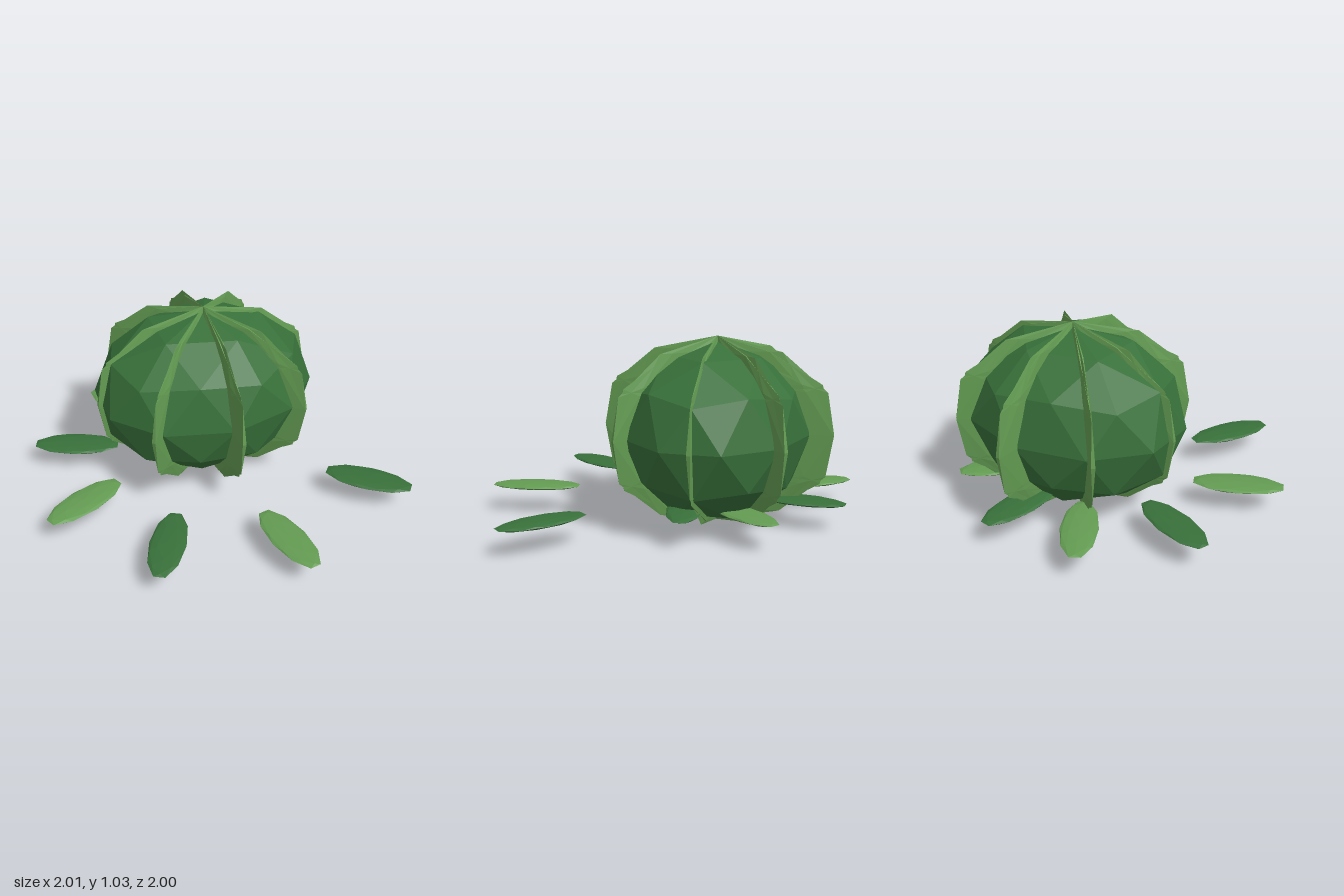
import * as THREE from 'three';

// Faceted ball with one vertex on top and a flat side towards +x
function facetedBall(sx, sy, sz) {
  const g = new THREE.IcosahedronGeometry(1, 1);
  g.rotateX(-Math.atan2(1 + Math.sqrt(5), 2));
  g.rotateY(Math.PI / 2);
  g.scale(sx, sy, sz);
  g.computeVertexNormals();
  return g;
}

export function createModel() {
  const model = new THREE.Group();
  model.name = 'cactus';
  const darkGreen = new THREE.MeshStandardMaterial({ color: 0x38703a, flatShading: true });
  darkGreen.name = 'dark green';
  const lightGreen = new THREE.MeshStandardMaterial({ color: 0x639b52, flatShading: true });
  lightGreen.name = 'light green';

  const plant = new THREE.Group();
  plant.name = 'barrel';
  plant.position.set(0.067, 0.515, -0.28);
  model.add(plant);

  // Round body
  const body = new THREE.Mesh(facetedBall(0.645, 0.49, 0.515), darkGreen);
  body.name = 'body';
  plant.add(body);

  // Thin upright ribs, turned around the centre
  const ribGeometry = facetedBall(0.672, 0.515, 0.035);
  for (let i = 0; i < 8; i++) {
    const rib = new THREE.Mesh(ribGeometry, lightGreen);
    rib.name = 'rib';
    rib.rotation.y = (i * Math.PI) / 4;
    plant.add(rib);
  }

  // Flat leaves around the base: x, z, long direction x and z, colour
  const leafGeometry = facetedBall(0.257, 0.018, 0.1);
  const leaves = [
    [0.40, -0.19, 1, -0.12, darkGreen],
    [0.80, 0.46, 72, 61, darkGreen],
    [0.168, 0.75, 16, 91, lightGreen],
    [-0.447, 0.567, -45, 81, darkGreen],
    [-0.77, 0.08, -80, 38, lightGreen],
    [-0.68, -0.445, -92, -36, darkGreen],
    [-0.31, -0.755, -52, -85, lightGreen],
    [0.08, -0.755, 12, -99, darkGreen],
    [0.41, -0.50, 62, -78, lightGreen],
  ];
  for (const [x, z, dx, dz, material] of leaves) {
    const leaf = new THREE.Mesh(leafGeometry, material);
    leaf.name = 'leaf';
    leaf.position.set(x, 0.15, z);
    leaf.rotation.y = Math.atan2(-dz, dx);
    model.add(leaf);
  }
  return model;
}
